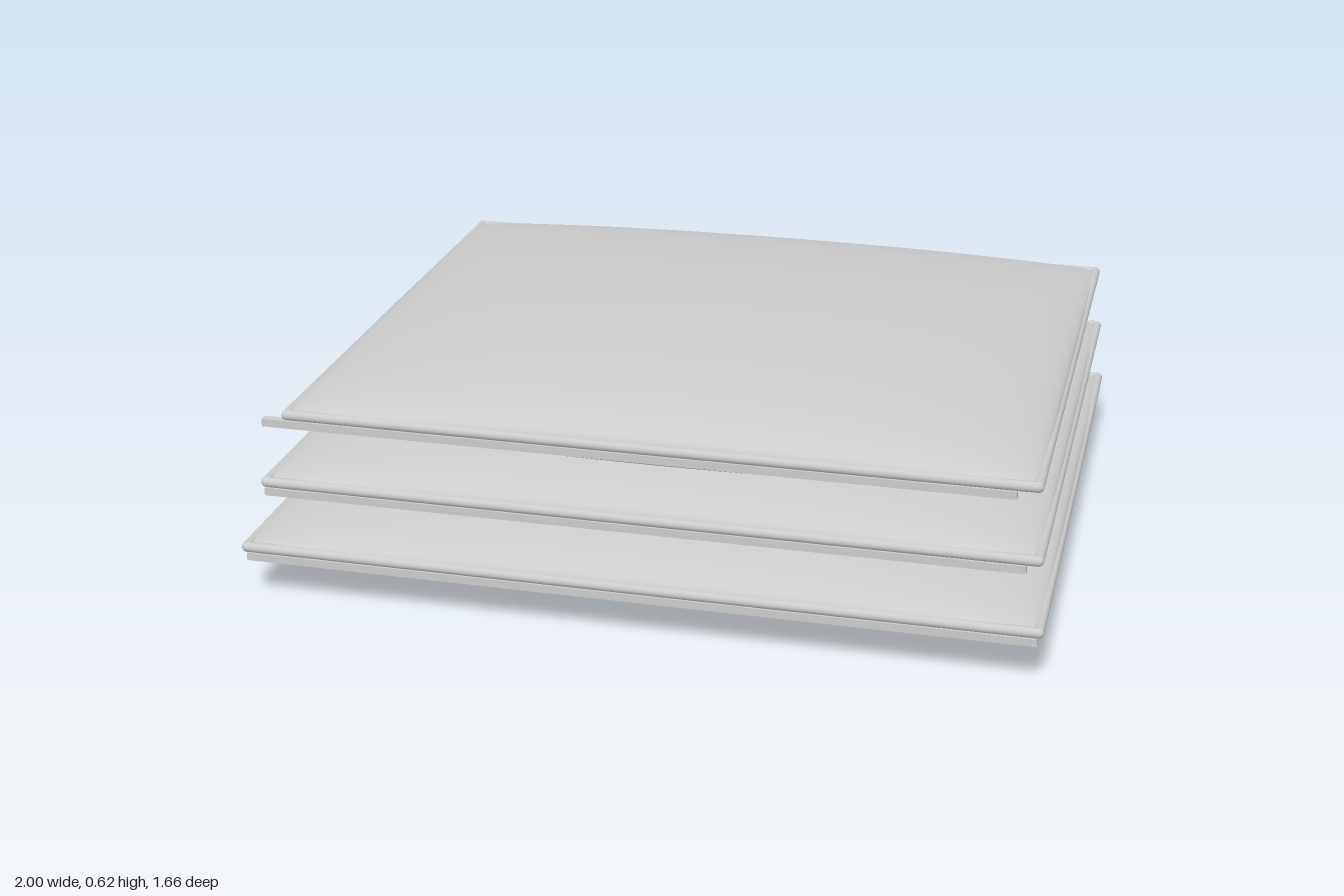
import * as THREE from 'three';

const PIPE = 0.013;
const material = new THREE.MeshStandardMaterial({ color: 0xcccccc });

// One puffed cushion panel: a flat grid bulged up (or down) towards its middle
function panel(width, depth, height, up) {
  const geo = new THREE.PlaneGeometry(2, 2, 40, 36);
  geo.rotateX(up ? -Math.PI / 2 : Math.PI / 2);
  const pos = geo.attributes.position;
  const puff = (t) => Math.pow(Math.max(0, 1 - t * t), 0.42);
  for (let i = 0; i < pos.count; i++) {
    // rows gather near the edges, where the fabric curves most
    const u = Math.sin(pos.getX(i) * Math.PI / 2);
    const v = Math.sin(pos.getZ(i) * Math.PI / 2);
    const y = height * puff(u) * puff(v);
    pos.setXYZ(i, u * width / 2, up ? y : -y, v * depth / 2);
  }
  geo.computeVertexNormals();
  return new THREE.Mesh(geo, material);
}

// Round cord around the seam, with ball corners
function piping(width, depth) {
  const group = new THREE.Group();
  group.name = 'piping';
  const hx = width / 2 - PIPE, hz = depth / 2 - PIPE;
  for (const s of [-1, 1]) {
    const along = new THREE.Mesh(new THREE.CylinderGeometry(PIPE, PIPE, 2 * hx, 12).rotateZ(Math.PI / 2), material);
    along.position.z = s * hz;
    const across = new THREE.Mesh(new THREE.CylinderGeometry(PIPE, PIPE, 2 * hz, 12).rotateX(Math.PI / 2), material);
    across.position.x = s * hx;
    group.add(along, across);
    for (const t of [-1, 1]) {
      const corner = new THREE.Mesh(new THREE.SphereGeometry(PIPE, 12, 8), material);
      corner.position.set(s * hx, 0, t * hz);
      group.add(corner);
    }
  }
  return group;
}

function cushion({ name, x0, x1, z0, z1, seam, zip0, zip1 }) {
  const group = new THREE.Group();
  group.name = name;
  const width = x1 - x0, depth = z1 - z0;
  const cx = (x0 + x1) / 2;
  group.position.set(cx, seam, (z0 + z1) / 2);

  const top = panel(width - PIPE, depth - PIPE, 0.11, true);
  top.name = 'topPanel';
  const bottom = panel(width - PIPE, depth - PIPE, 0.14, false);
  bottom.name = 'bottomPanel';

  // Zip strip just under the front piping
  const zip = new THREE.Mesh(new THREE.BoxGeometry(zip1 - zip0, 0.02, 0.02), material);
  zip.name = 'zipStrip';
  zip.position.set((zip0 + zip1) / 2 - cx, -0.023, depth / 2 - 0.014);

  group.add(top, bottom, piping(width, depth), zip);
  return group;
}

export function createModel() {
  const model = new THREE.Group();
  model.name = 'cushionStack';
  const stack = [
    { name: 'bottomCushion', x0: -1, x1: 1, z0: -0.83, z1: 0.83, seam: 0.144, zip0: -0.985, zip1: 0.985 },
    { name: 'middleCushion', x0: -0.935, x1: 0.99, z0: -0.77, z1: 0.828, seam: 0.328, zip0: -0.925, zip1: 0.95 },
    { name: 'topCushion', x0: -0.87, x1: 0.98, z0: -0.71, z1: 0.825, seam: 0.512, zip0: -0.92, zip1: 0.92 },
  ];
  for (const spec of stack) model.add(cushion(spec));
  return model;
}
